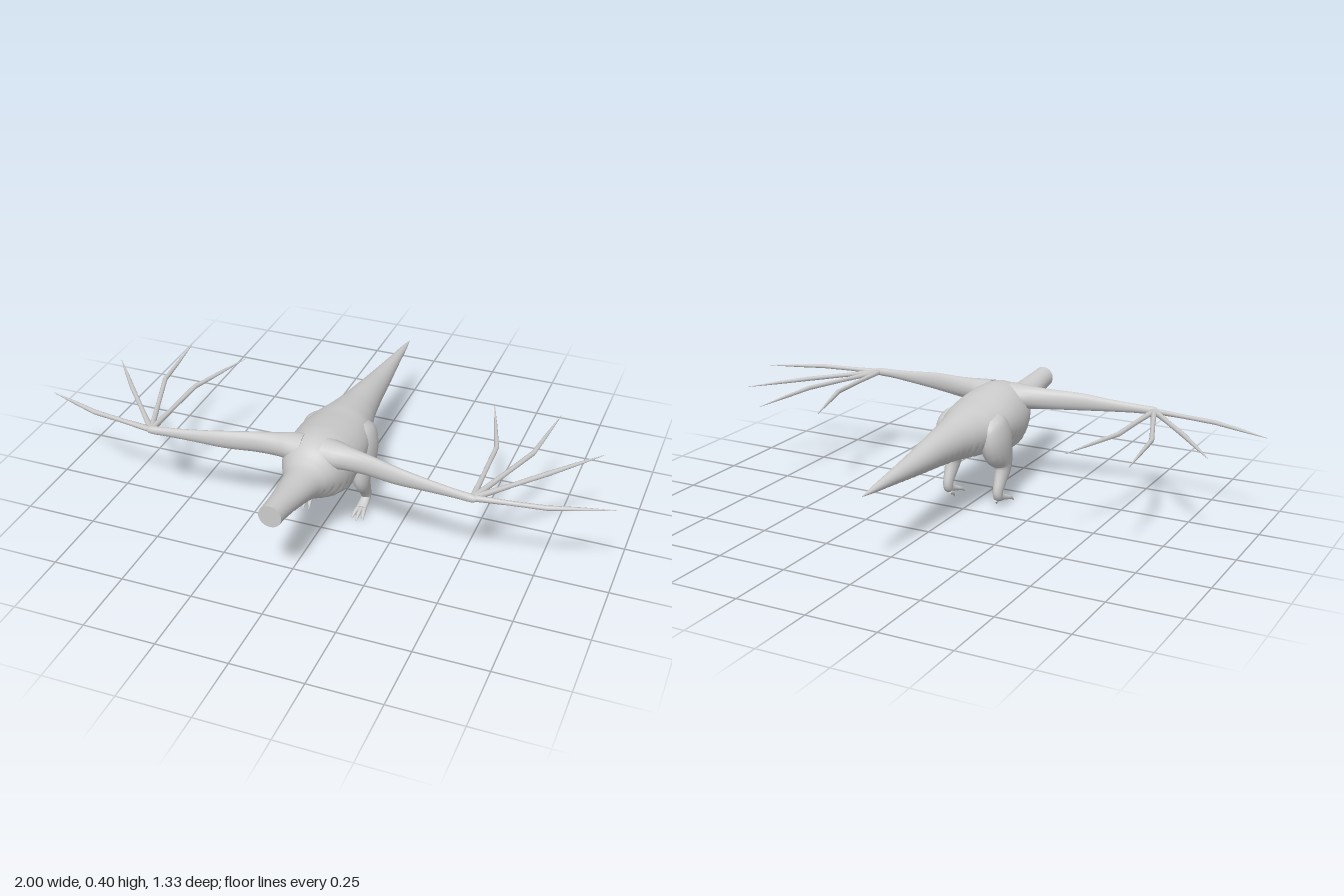
import * as THREE from 'three';

const skin = new THREE.MeshStandardMaterial({ color: 0xcccccc });
skin.name = 'grey skin';

// Skin over elliptical rings [x, y, z, ra, rb]; ra lies along the ref axis
function loft(name, rings, ref, sides = 12, fixed = null, shape = null) {
  const pos = [], index = [];
  const centre = rings.map(r => new THREE.Vector3(r[0], r[1], r[2]));
  const last = rings.length - 1;
  rings.forEach((r, i) => {
    const t = fixed ? fixed.clone()
      : centre[Math.min(i + 1, last)].clone().sub(centre[Math.max(i - 1, 0)]).normalize();
    const a = ref.clone().addScaledVector(t, -ref.dot(t)).normalize();
    const b = t.clone().cross(a);
    for (let j = 0; j < sides; j++) {
      const ang = j / sides * Math.PI * 2;
      const k = shape ? shape(ang, r) : 1;
      const p = centre[i].clone()
        .addScaledVector(a, Math.cos(ang) * r[3] * k)
        .addScaledVector(b, Math.sin(ang) * r[4] * k);
      pos.push(p.x, p.y, p.z);
    }
  });
  for (let i = 0; i < last; i++) {
    for (let j = 0; j < sides; j++) {
      const n = (j + 1) % sides, u = i * sides, v = u + sides;
      index.push(u + j, u + n, v + n, u + j, v + n, v + j);
    }
  }
  // Flat end caps with their own corners
  for (const [i, end] of [[0, false], [last, true]]) {
    const c = pos.length / 3;
    pos.push(centre[i].x, centre[i].y, centre[i].z);
    for (let j = 0; j < sides; j++) {
      const o = (i * sides + j) * 3;
      pos.push(pos[o], pos[o + 1], pos[o + 2]);
    }
    for (let j = 0; j < sides; j++) {
      const p = c + 1 + j, q = c + 1 + (j + 1) % sides;
      if (end) index.push(c, p, q); else index.push(c, q, p);
    }
  }
  const geo = new THREE.BufferGeometry();
  geo.setAttribute('position', new THREE.Float32BufferAttribute(pos, 3));
  geo.setIndex(index);
  geo.computeVertexNormals();
  const mesh = new THREE.Mesh(geo, skin);
  mesh.name = name;
  return mesh;
}

// Smooth a coarse list of rings with a spline per column
function refine(rings, steps) {
  const cr = (a, b, c, d, t) => b + 0.5 * t * (c - a + t * (2 * a - 5 * b + 4 * c - d + t * (3 * (b - c) + d - a)));
  const out = [], n = rings.length - 1;
  for (let s = 0; s <= n * steps; s++) {
    const i = Math.min(Math.floor(s / steps), n - 1), t = s / steps - i;
    const [a, b, c, d] = [Math.max(i - 1, 0), i, i + 1, Math.min(i + 2, n)].map(k => rings[k]);
    out.push(b.map((_, k) => cr(a[k], b[k], c[k], d[k], t)));
  }
  return out;
}

const X = new THREE.Vector3(1, 0, 0), Y = new THREE.Vector3(0, 1, 0), Z = new THREE.Vector3(0, 0, 1);

// Tail, trunk and neck: z, top, bottom, half width
const bodyProfile = [
  [-0.666, 0.265, 0.263, 0.001], [-0.6, 0.276, 0.255, 0.011], [-0.5, 0.29, 0.246, 0.021],
  [-0.4, 0.304, 0.237, 0.032], [-0.3, 0.319, 0.229, 0.043], [-0.2, 0.336, 0.221, 0.054],
  [-0.1, 0.35, 0.212, 0.069], [-0.05, 0.358, 0.204, 0.08], [0, 0.366, 0.196, 0.093],
  [0.05, 0.374, 0.19, 0.11], [0.1, 0.38, 0.184, 0.121], [0.15, 0.388, 0.174, 0.126],
  [0.2, 0.395, 0.16, 0.127], [0.25, 0.4, 0.15, 0.124], [0.3, 0.398, 0.165, 0.115],
  [0.34, 0.386, 0.187, 0.1], [0.38, 0.36, 0.209, 0.08], [0.42, 0.347, 0.228, 0.064],
  [0.5, 0.347, 0.252, 0.052], [0.6, 0.355, 0.273, 0.042], [0.667, 0.361, 0.283, 0.039],
];

function buildBody() {
  const rings = refine(bodyProfile, 12)
    .map(([z, top, bottom, w]) => [0, (top + bottom) / 2, z, Math.max(w, 0.001), Math.max((top - bottom) / 2, 0.001)]);
  // Overlapping belly plates on the underside
  const plates = (ang, r) => {
    const under = THREE.MathUtils.smoothstep(-Math.sin(ang), 0.25, 0.6);
    const reach = THREE.MathUtils.smoothstep(r[2], -0.62, -0.3) * (1 - THREE.MathUtils.smoothstep(r[2], 0.48, 0.62));
    const bump = Math.abs(Math.sin(r[2] * Math.PI / 0.035)) - 0.5;
    return 1 + 0.075 * under * reach * bump;
  };
  return loft('body', rings, X, 32, Z, plates);
}

function buildWing(s) {
  const wing = new THREE.Group();
  wing.name = s > 0 ? 'leftWing' : 'rightWing';
  const arm = [
    [0.04, 0.345, 0.3, 0.05, 0.058], [0.09, 0.347, 0.305, 0.045, 0.047], [0.13, 0.347, 0.311, 0.041, 0.034],
    [0.2, 0.347, 0.323, 0.037, 0.023], [0.3, 0.346, 0.346, 0.032, 0.018], [0.4, 0.344, 0.358, 0.023, 0.014],
    [0.5, 0.343, 0.369, 0.016, 0.012], [0.56, 0.342, 0.374, 0.014, 0.013], [0.578, 0.342, 0.375, 0.006, 0.006],
  ];
  wing.add(loft('arm', refine(arm, 3).map(r => [r[0] * s, ...r.slice(1)]), Y, 16));
  // Each finger: knuckle x, z and tip x, z
  const fingers = [
    [0.795, 0.342, 1.0, 0.27], [0.753, 0.15, 0.893, -0.025],
    [0.674, 0.053, 0.702, -0.22], [0.552, 0.064, 0.472, -0.195],
  ];
  fingers.forEach(([kx, kz, tx, tz], i) => {
    const at = (x, y, z, r) => [x * s, y, z, r, r];
    const mix = THREE.MathUtils.lerp;
    wing.add(loft('finger' + (i + 1), [
      at(0.562, 0.342, 0.373, 0.011),
      at(mix(0.562, kx, 0.5), 0.342, mix(0.373, kz, 0.5), 0.008),
      at(kx, 0.342, kz, 0.0085),
      at(mix(kx, tx, 0.5), 0.34, mix(kz, tz, 0.5), 0.006),
      at(tx, 0.337, tz, 0.0008),
    ], Y, 8));
  });
  return wing;
}

function buildLeg(s) {
  const leg = new THREE.Group();
  leg.name = s > 0 ? 'leftLeg' : 'rightLeg';
  // Thigh, shin and heel in one skin
  const limb = [
    [0.085, 0.335, 0.06, 0.012, 0.03], [0.087, 0.315, 0.065, 0.034, 0.062], [0.09, 0.27, 0.075, 0.045, 0.08],
    [0.092, 0.22, 0.087, 0.045, 0.078], [0.096, 0.17, 0.112, 0.036, 0.054], [0.1, 0.135, 0.115, 0.027, 0.041],
    [0.1, 0.095, 0.094, 0.022, 0.029], [0.1, 0.06, 0.076, 0.018, 0.022], [0.1, 0.04, 0.078, 0.017, 0.019],
    [0.1, 0.03, 0.1, 0.018, 0.013], [0.1, 0.024, 0.125, 0.019, 0.009],
  ];
  leg.add(loft('limb', refine(limb, 3).map(r => [r[0] * s, ...r.slice(1)]), X, 16));
  // Three front toes and one back toe, each ending in a claw
  const toe = (name, x0, z0, x1, z1) => {
    const m = (f, y, r) => [(x0 + (x1 - x0) * f) * s, y, z0 + (z1 - z0) * f, r, r];
    leg.add(loft(name, [m(0, 0.024, 0.008), m(0.4, 0.02, 0.008), m(0.7, 0.014, 0.006), m(1, 0.001, 0.001)], X, 8));
  };
  for (const k of [-1, 0, 1]) toe('frontToe', 0.1 + k * 0.009, 0.115, 0.1 + k * 0.02, k ? 0.166 : 0.177);
  toe('backToe', 0.092, 0.075, 0.085, 0.098);
  return leg;
}

export function createModel() {
  const model = new THREE.Group();
  model.name = 'wingedReptile';
  model.add(buildBody());
  for (const s of [1, -1]) model.add(buildWing(s), buildLeg(s));
  return model;
}
